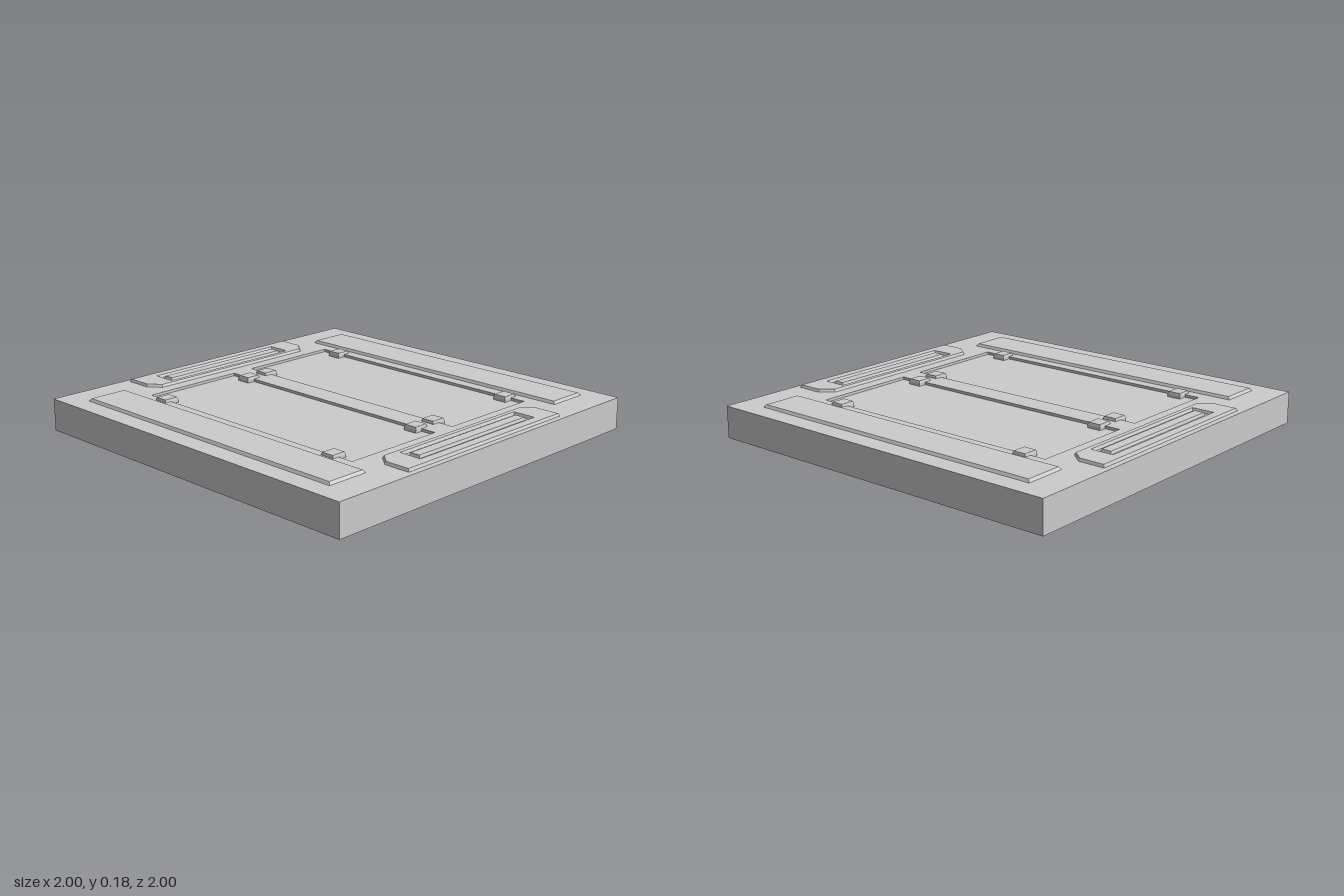
import * as THREE from 'three';

const DECK = 0.166, TOP = 0.18, FLOOR = 0.152;

export function createModel() {
  const group = new THREE.Group();
  const material = new THREE.MeshStandardMaterial({ color: 0xcccccc, flatShading: true });

  const add = (name, geometry, x = 0, y = 0, z = 0) => {
    const mesh = new THREE.Mesh(geometry, material);
    mesh.name = name;
    mesh.position.set(x, y, z);
    group.add(mesh);
    return mesh;
  };
  const rectPoints = (w, d, x = 0, y = 0) => [
    [x - w / 2, y - d / 2], [x + w / 2, y - d / 2], [x + w / 2, y + d / 2], [x - w / 2, y + d / 2],
  ].map(([a, b]) => new THREE.Vector2(a, b));

  // Raised pad with sloped upper edges; its lower part is sunk in the slab
  const padGeometry = (points, slope, holes = []) => {
    const shape = new THREE.Shape(points);
    holes.forEach((h) => shape.holes.push(new THREE.Path(h)));
    const rise = TOP - DECK, depth = 0.02;
    const geometry = new THREE.ExtrudeGeometry(shape, {
      depth, bevelEnabled: true, bevelSegments: 1,
      bevelThickness: rise, bevelSize: slope, bevelOffset: -slope,
    });
    return geometry.rotateX(-Math.PI / 2).translate(0, DECK - depth, 0);
  };

  // Slab: solid lower body and a deck with two recessed panels
  add('slabBody', new THREE.BoxGeometry(2, FLOOR, 2), 0, FLOOR / 2, 0);
  const deck = new THREE.Shape(rectPoints(2, 2));
  for (const s of [-1, 1]) deck.holes.push(new THREE.Path(rectPoints(0.555, 1.404, s * 0.3395)));
  const deckGeometry = new THREE.ExtrudeGeometry(deck, { depth: DECK - FLOOR, bevelEnabled: false });
  add('deck', deckGeometry.rotateX(-Math.PI / 2), 0, FLOOR, 0);

  // Long side pads
  for (const s of [-1, 1]) {
    add('sidePad', padGeometry(rectPoints(0.22, 1.684), 0.009), s * 0.788, 0, 0);
  }

  // Chamfered end pads, each with a groove around a central bar
  const endPoints = [
    [-0.546, 0.97], [-0.546, 0.832], [-0.492, 0.768],
    [0.492, 0.768], [0.546, 0.832], [0.546, 0.97],
  ].map(([x, y]) => new THREE.Vector2(x, y));
  for (const back of [true, false]) {
    const end = new THREE.Group();
    end.name = back ? 'backEnd' : 'frontEnd';
    const pad = add('endPad', padGeometry(endPoints, 0.006, [rectPoints(0.81, 0.108, 0, 0.858)]));
    const bar = add('grooveBar', padGeometry(rectPoints(0.766, 0.062, 0, 0.858), 0.005));
    end.add(pad, bar);
    if (!back) end.rotation.y = Math.PI;
    group.add(end);
  }

  // Small clips over the panel edges
  const clip = padGeometry(rectPoints(0.082, 0.074), 0.004);
  for (const x of [-0.612, -0.062, 0.062, 0.612]) {
    for (const z of [-0.583, 0.583]) add('panelClip', clip, x, 0, z);
  }
  return group;
}
